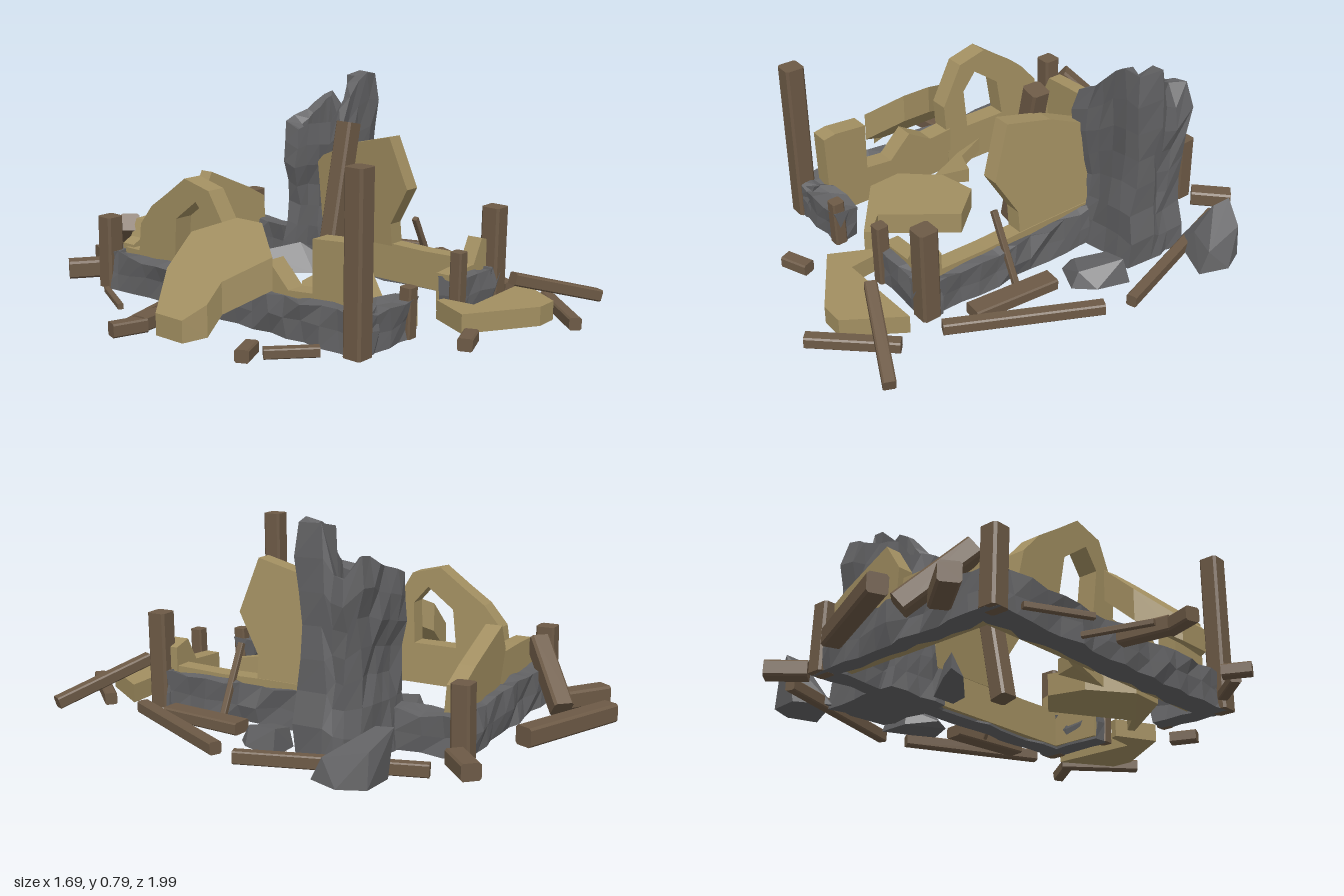
import * as THREE from 'three';
import { ConvexGeometry } from 'three/addons/geometries/ConvexGeometry.js';

const mat = (color) => new THREE.MeshStandardMaterial({ color, flatShading: true, side: THREE.DoubleSide });
const stone = mat(0x636365), plaster = mat(0xa28f61), wood = mat(0x6d5a46);

// Repeatable offset in -1..1 from a position, so shared corners move together
function noise(x, y, z, k) {
  const s = Math.sin(x * 127.1 + y * 311.7 + z * 74.7 + k * 53.3) * 43758.5453;
  return (s - Math.floor(s)) * 2 - 1;
}
const toShape = (pts) => new THREE.Shape(pts.map((p) => new THREE.Vector2(p[0], p[1])));

export function createModel() {
  const model = new THREE.Group();
  function add(name, geo, material) {
    const mesh = new THREE.Mesh(geo, material);
    mesh.name = name;
    model.add(mesh);
    return mesh;
  }
  // Move every vertex by a rule
  function warp(geo, rule) {
    const p = geo.attributes.position, v = new THREE.Vector3();
    for (let i = 0; i < p.count; i++) {
      rule(v.fromBufferAttribute(p, i));
      p.setXYZ(i, v.x, v.y, v.z);
    }
    geo.computeVertexNormals();
    return geo;
  }

  // Rough stone footing between two x and two z limits
  function footing(name, x0, x1, z0, z1, h) {
    const w = x1 - x0, d = z1 - z0;
    const geo = new THREE.BoxGeometry(w, h, d, Math.ceil(w / 0.08), 2, Math.ceil(d / 0.08));
    geo.translate((x0 + x1) / 2, h / 2 + 0.01, (z0 + z1) / 2);
    const r = (n) => Math.round(n * 1000) / 1000;
    add(name, warp(geo, (v) => {
      const [a, b, c] = [r(v.x), r(v.y), r(v.z)];
      v.x += noise(a, b, c, 1) * 0.014;
      v.z += noise(a, b, c, 2) * 0.014;
      if (b > 0.02) v.y += noise(a, b, c, 3) * 0.012;
    }), stone);
  }
  footing('leftFooting', -0.465, -0.36, -0.67, 0.59, 0.14);
  footing('rightFooting', 0.315, 0.395, -0.67, 0.59, 0.14);
  footing('backFooting', -0.44, 0.37, -0.685, -0.61, 0.15);
  footing('frontLeftFooting', -0.45, -0.17, 0.51, 0.595, 0.14);
  footing('frontRightFooting', 0.1, 0.39, 0.51, 0.595, 0.14);

  // Upright plaster along z: points are (z, y), optional lean in x per unit of height
  function sideWall(name, x, t, pts, lean = 0, hole) {
    const shape = toShape(pts);
    if (hole) shape.holes.push(toShape(hole));
    const geo = new THREE.ExtrudeGeometry(shape, { depth: t, bevelEnabled: false });
    geo.rotateY(-Math.PI / 2).translate(x, 0, 0);
    add(name, warp(geo, (v) => { v.x += lean * (v.y - 0.1); }), plaster);
  }
  // Upright plaster along x: points are (x, y), lean in z
  function crossWall(name, z, t, pts, lean = 0) {
    const geo = new THREE.ExtrudeGeometry(toShape(pts), { depth: t, bevelEnabled: false });
    geo.translate(0, 0, z);
    add(name, warp(geo, (v) => { v.z += lean * (v.y - 0.1); }), plaster);
  }
  sideWall('leftWallFront', -0.335, 0.075,
    [[-0.05, 0.02], [0.52, 0.02], [0.53, 0.36], [0.48, 0.37], [0.35, 0.36], [0.35, 0.17], [0.24, 0.16], [0.15, 0.25], [0.05, 0.19], [-0.05, 0.2]]);
  sideWall('leftWallBack', -0.335, 0.075,
    [[-0.6, 0.02], [-0.04, 0.02], [-0.03, 0.3], [-0.12, 0.46], [-0.24, 0.49], [-0.34, 0.42], [-0.43, 0.36], [-0.5, 0.28], [-0.52, 0.17], [-0.6, 0.17]], -0.06,
    [[-0.32, 0.18], [-0.14, 0.18], [-0.13, 0.34], [-0.19, 0.41], [-0.3, 0.33]]);
  sideWall('rightWallLow', 0.365, 0.065,
    [[-0.2, 0.02], [0.52, 0.02], [0.52, 0.17], [0.3, 0.165], [0.1, 0.17], [-0.2, 0.17]]);
  sideWall('rightWallTall', 0.37, 0.065,
    [[-0.2, 0.16], [0.15, 0.16], [0.15, 0.25], [0.24, 0.4], [0.17, 0.6], [-0.02, 0.555], [-0.17, 0.49], [-0.2, 0.46]], -0.12);
  crossWall('backWall', -0.63, 0.06,
    [[-0.4, 0.02], [0.08, 0.02], [0.08, 0.27], [-0.2, 0.27], [-0.33, 0.265], [-0.36, 0.2], [-0.4, 0.18]]);
  crossWall('backWallLeaning', -0.64, 0.06,
    [[0.04, 0.02], [0.36, 0.02], [0.36, 0.25], [0.27, 0.3], [0.06, 0.395], [0, 0.3]], -0.08);
  crossWall('frontRightWall', 0.5, 0.06,
    [[0.1, 0.02], [0.37, 0.02], [0.37, 0.24], [0.3, 0.26], [0.25, 0.17], [0.1, 0.16]]);

  // Fallen slab: outline (x, z), top height y at its reference point, slopes in x and z
  function slab(name, pts, t, y, [x0, z0] = [0, 0], sx = 0, sz = 0) {
    const geo = new THREE.ExtrudeGeometry(toShape(pts), { depth: t, bevelEnabled: false });
    geo.rotateX(Math.PI / 2);
    add(name, warp(geo, (v) => { v.y = Math.max(0.01, v.y + y + sx * (v.x - x0) + sz * (v.z - z0)); }), plaster);
  }
  slab('leaningSlabOutside', [[-0.73, 0.05], [-0.73, -0.08], [-0.6, -0.16], [-0.48, -0.16], [-0.41, 0], [-0.41, 0.12],
    [-0.5, 0.25], [-0.6, 0.11], [-0.67, 0.11]], 0.115, 0.09, [-0.73, 0], 0.9);
  slab('fallenSlabInside', [[-0.32, 0.22], [-0.18, 0.1], [-0.02, 0.08], [0.09, 0.21], [-0.13, 0.44], [-0.05, 0.52],
    [-0.07, 0.54], [-0.32, 0.35]], 0.085, 0.11, [-0.1, 0.27], 0.06, -0.06);
  slab('smallSlabInside', [[-0.28, 0.08], [-0.27, -0.04], [-0.23, -0.12], [-0.23, -0.03], [-0.13, 0.01]],
    0.06, 0.12, [-0.2, 0], 0.3, -0.6);
  slab('fallenSlabFront', [[-0.05, 0.71], [0.03, 0.55], [0.06, 0.56], [0.07, 0.68], [0.42, 0.67], [0.29, 0.87], [0.2, 0.87]], 0.07, 0.085);

  // Broken chimney: loops climb the outside, cross the ragged rim and drop into the flue
  const rim = [0.62, 0.66, 0.71, 0.77, 0.80, 0.79, 0.795, 0.63, 0.62, 0.70, 0.69, 0.66, 0.64, 0.62, 0.60, 0.57, 0.60, 0.61];
  const around = (i) => {
    if (i < 5) return [i / 5 * 2 - 1, 1];
    if (i < 9) return [1, 1 - [0, 0.85, 1.1, 1.5][i - 5]];
    if (i < 14) return [1 - (i - 9) / 2.5, -1];
    return [-1, (i - 14) / 2 - 1];
  };
  const cx = 0.448, cz = -0.285, pos = [], idx = [];
  const loop = (hx, hz, height, rough) => rim.forEach((h, i) => {
    const [u, v] = around(i), y = height(h), k = pos.length;
    pos.push(cx + u * hx + noise(i, k, 1, 1) * rough, y, cz + v * hz + noise(i, k, 2, 2) * rough);
  });
  loop(0, 0, () => 0.01, 0);
  const widths = [0.172, 0.165, 0.155, 0.145, 0.147, 0.157, 0.16, 0.15];
  widths.forEach((w, j) => loop(w, w - 0.035, (h) => 0.01 + (h - 0.01) * j / 7, 0.012));
  loop(0.1, 0.08, (h) => h - 0.015, 0.008);
  loop(0.095, 0.075, () => 0.5, 0);
  loop(0, 0, () => 0.5, 0);
  const n = rim.length;
  for (let j = 0; j < pos.length / 3 / n - 1; j++) {
    for (let i = 0; i < n; i++) {
      const a = j * n + i, b = j * n + (i + 1) % n;
      idx.push(a, b, b + n, a, b + n, a + n);
    }
  }
  const chimney = new THREE.BufferGeometry();
  chimney.setAttribute('position', new THREE.Float32BufferAttribute(pos, 3));
  chimney.setIndex(idx);
  chimney.computeVertexNormals();
  add('chimney', chimney, stone);

  // Loose rocks as faceted hulls
  const rock = (name, pts) => add(name, new ConvexGeometry(pts.map((p) => new THREE.Vector3(...p))), stone);
  rock('rockInside', [[0.03, 0.03, -0.37], [0.1, 0.02, -0.34], [0.26, 0.02, -0.23], [0.26, 0.02, -0.13], [0.18, 0.02, -0.15],
    [0.04, 0.02, -0.3], [0.05, 0.1, -0.35], [0.2, 0.13, -0.24], [0.23, 0.09, -0.18]]);
  rock('rockRight', [[0.46, 0.01, 0.03], [0.46, 0.03, -0.01], [0.54, 0.01, -0.11], [0.67, 0.01, -0.11], [0.64, 0.02, 0.02],
    [0.57, 0.01, 0.08], [0.55, 0.08, -0.1], [0.64, 0.1, -0.1], [0.57, 0.07, 0.05], [0.49, 0.06, 0]]);
  rock('rockBackRight', [[0.6, 0.02, -0.42], [0.68, 0.02, -0.54], [0.8, 0.02, -0.53], [0.84, 0.02, -0.44], [0.8, 0.02, -0.33],
    [0.7, 0.2, -0.57], [0.69, 0.19, -0.5], [0.79, 0.14, -0.53], [0.8, 0.1, -0.37], [0.68, 0.1, -0.42]]);

  // Chamfered timber between two points
  function beam(name, a, b, w, h = w) {
    const c = 0.12 * Math.min(w, h), x = w / 2, y = h / 2;
    const shape = toShape([[x - c, -y], [x, c - y], [x, y - c], [x - c, y], [c - x, y], [-x, y - c], [-x, c - y], [c - x, -y]]);
    const from = new THREE.Vector3(...a), to = new THREE.Vector3(...b);
    const mesh = add(name, new THREE.ExtrudeGeometry(shape, { depth: from.distanceTo(to), bevelEnabled: false }), wood);
    mesh.position.copy(from);
    mesh.lookAt(to);
  }
  // Upright posts: x, z, height, width
  for (const [x, z, h, w] of [[-0.45, 0.575, 0.64, 0.075], [0.37, 0.565, 0.37, 0.075], [-0.44, -0.66, 0.29, 0.072],
    [0.37, -0.66, 0.27, 0.07], [-0.185, 0.58, 0.19, 0.048], [0.115, 0.58, 0.25, 0.048]]) {
    beam('post', [x, 0.01, z], [x, h, z + 0.004], w);
  }
  // Leaning timbers
  beam('leaningPost', [0.105, 0.03, -0.025], [0.235, 0.64, -0.02], 0.075);
  beam('leaningBackBeam', [-0.35, 0.25, -0.65], [-0.18, 0.05, -0.81], 0.075);
  beam('leaningFrontBeam', [0.26, 0.145, 0.72], [0.61, 0.035, 0.88], 0.045);
  beam('leaningStick', [0.46, 0.02, 0.24], [0.325, 0.28, 0.24], 0.022);
  // Fallen timbers: x1, z1, x2, z2, width, height
  for (const [x1, z1, x2, z2, w, h] of [[-0.26, -0.965, 0.16, -0.79, 0.07, 0.07], [-0.475, -0.88, -0.315, -0.765, 0.075, 0.07],
    [0.44, -0.66, 0.55, -0.765, 0.07, 0.06], [0.575, -0.635, 0.77, -0.02, 0.038, 0.045], [0.735, 0.075, 0.48, 0.58, 0.045, 0.045],
    [0.51, 0.12, 0.48, 0.455, 0.075, 0.045], [0.25, 0.98, 0.47, 0.74, 0.045, 0.045], [-0.18, 0.81, -0.08, 0.77, 0.052, 0.045],
    [-0.655, 0.35, -0.52, 0.475, 0.04, 0.035], [-0.735, 0.33, -0.64, 0.285, 0.05, 0.045], [-0.84, -0.185, -0.72, -0.145, 0.052, 0.05],
    [-0.74, -0.155, -0.555, -0.18, 0.055, 0.055], [-0.735, -0.24, -0.5, -0.31, 0.02, 0.02], [-0.62, -0.395, -0.51, -0.605, 0.022, 0.022]]) {
    beam('fallenBeam', [x1, 0.01 + h / 2, z1], [x2, 0.01 + h / 2, z2], w, h);
  }
  return model;
}
